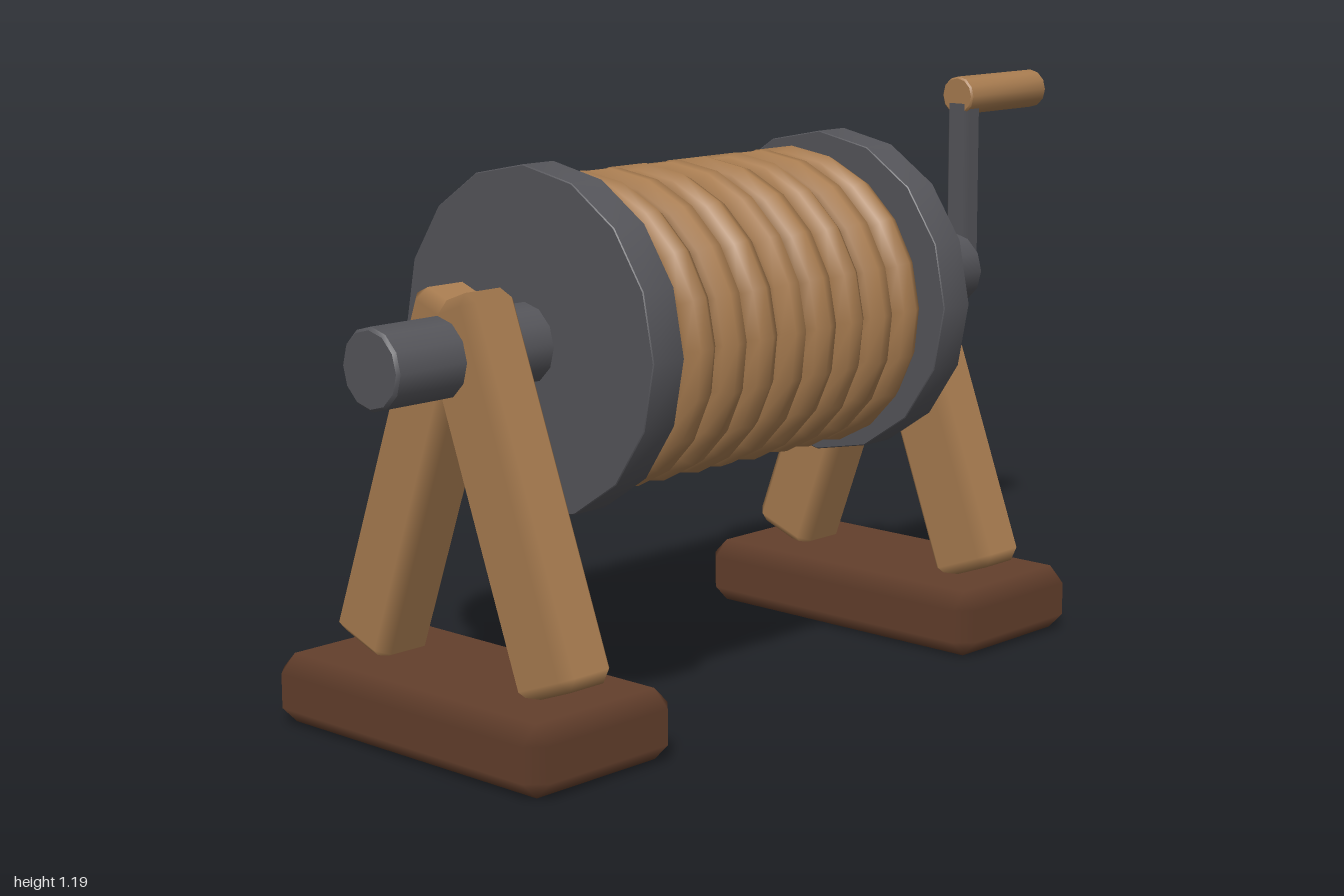
import * as THREE from 'three';
import { toCreasedNormals } from 'three/addons/utils/BufferGeometryUtils.js';
import { ConvexGeometry } from 'three/addons/geometries/ConvexGeometry.js';

const wood = new THREE.MeshStandardMaterial({ color: 0xa87c50 });
wood.name = 'tan wood and rope';
const darkWood = new THREE.MeshStandardMaterial({ color: 0x633f2c });
darkWood.name = 'dark wood';
const iron = new THREE.MeshStandardMaterial({ color: 0x55555a });
iron.name = 'grey iron';

const AXIS_Y = 0.76;

// Box with chamfered edges; normals follow the main faces so the chamfers shade softly
function chamferBox(w, h, d, c) {
  const half = [w / 2, h / 2, d / 2];
  const points = [];
  for (let axis = 0; axis < 3; axis++) {
    for (let corner = 0; corner < 8; corner++) {
      const p = half.map((s, i) => (corner & (1 << i) ? 1 : -1) * (i === axis ? s : s - c));
      points.push(new THREE.Vector3(...p));
    }
  }
  const geo = new ConvexGeometry(points);
  const pos = geo.attributes.position;
  for (let i = 0; i < pos.count; i++) {
    const p = [pos.getX(i), pos.getY(i), pos.getZ(i)];
    const n = p.map((v, k) => (Math.abs(Math.abs(v) - half[k]) < 1e-4 ? Math.sign(v) : 0));
    geo.attributes.normal.setXYZ(i, ...n);
  }
  return geo;
}

// Rod along x from x0 to x1 with a small bevel at both ends
function rod(x0, x1, r, bevel, sides) {
  const l = (x1 - x0) / 2;
  const profile = [[0, -l], [r - bevel, -l], [r, -l + bevel], [r, l - bevel], [r - bevel, l], [0, l]]
    .map(([x, y]) => new THREE.Vector2(x, y));
  const geo = toCreasedNormals(new THREE.LatheGeometry(profile, sides), 0.7);
  geo.rotateZ(-Math.PI / 2);
  geo.translate((x0 + x1) / 2, 0, 0);
  return geo;
}

// Rope coil: bottom, back, top, front, moving towards +x
class Coil extends THREE.Curve {
  constructor(x0, x1, radius, turns) {
    super();
    Object.assign(this, { x0, x1, radius, turns });
    this.arcLengthDivisions = 800;
  }
  getPoint(t, target = new THREE.Vector3()) {
    const a = t * this.turns * Math.PI * 2;
    return target.set(
      this.x0 + (this.x1 - this.x0) * t,
      -Math.cos(a) * this.radius,
      -Math.sin(a) * this.radius
    );
  }
}

export function createModel() {
  const model = new THREE.Group();
  model.name = 'winch';
  const add = (name, geo, mat, x = 0, y = 0, z = 0, parent = model) => {
    const mesh = new THREE.Mesh(geo, mat);
    mesh.name = name;
    mesh.position.set(x, y, z);
    parent.add(mesh);
    return mesh;
  };

  // Two A-frame stands
  for (const [name, x] of [['rightStand', -0.765], ['leftStand', 0.488]]) {
    const stand = new THREE.Group();
    stand.name = name;
    stand.position.x = x;
    model.add(stand);
    add('foot', chamferBox(0.378, 0.14, 0.756, 0.035), darkWood, 0, 0.07, 0, stand);
    for (const side of [1, -1]) {
      const leg = add(side > 0 ? 'frontLeg' : 'backLeg',
        chamferBox(0.135, 0.765, 0.16, 0.024), wood, 0, 0.508, side * 0.133, stand);
      leg.rotation.x = -side * 0.355;
    }
  }

  // Axle, drum and flanges
  add('axle', rod(-1, 0.725, 0.08, 0.006, 12), iron, 0, AXIS_Y);
  add('drum', rod(-0.54, 0.26, 0.26, 0.002, 16), wood, 0, AXIS_Y);
  add('rightFlange', rod(-0.61, -0.527, 0.345, 0.002, 16), iron, 0, AXIS_Y);
  add('leftFlange', rod(0.252, 0.335, 0.345, 0.002, 16), iron, 0, AXIS_Y);

  // Wound rope with closed ends
  const ropeR = 0.039;
  const coil = new Coil(-0.495, 0.209, 0.281, 8);
  add('rope', new THREE.TubeGeometry(coil, 160, ropeR, 8, false), wood, 0, AXIS_Y);
  const cap = new THREE.CircleGeometry(ropeR, 8);
  add('ropeStart', cap, wood, coil.x0, AXIS_Y - coil.radius, 0);
  add('ropeEnd', cap, wood, coil.x1, AXIS_Y - coil.radius, 0).rotation.y = Math.PI;

  // Crank
  add('crankArm', chamferBox(0.052, 0.38, 0.06, 0.01), iron, 0.75, 0.95);
  add('crankHandle', rod(0.725, 1, 0.043, 0.004, 12), wood, 0, 1.148);

  return model;
}
